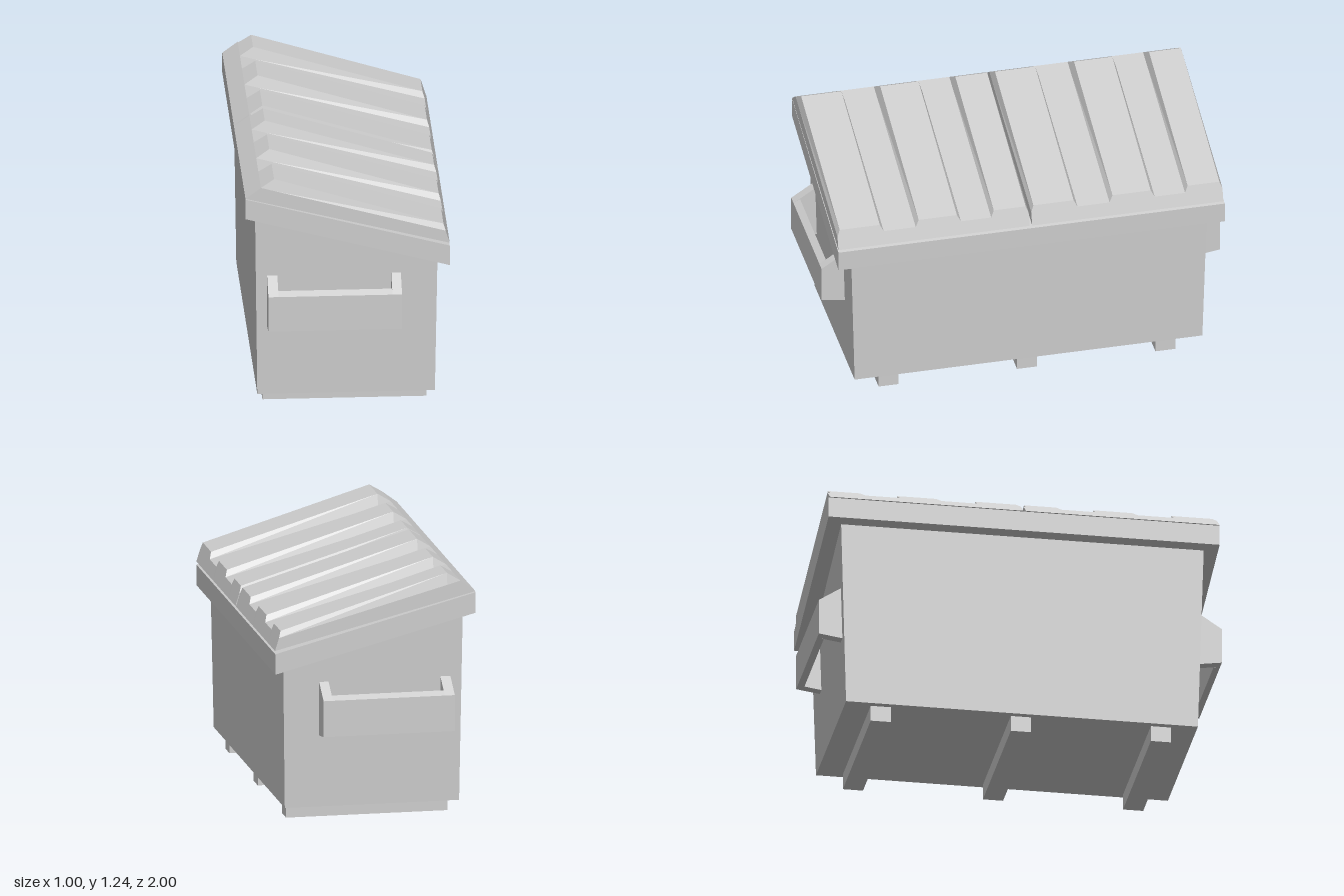
import * as THREE from 'three';

const material = new THREE.MeshStandardMaterial({ color: 0xcccccc, flatShading: true, side: THREE.DoubleSide });

function addMesh(parent, name, geometry) {
  const mesh = new THREE.Mesh(geometry, material);
  mesh.name = name;
  parent.add(mesh);
  return mesh;
}

// Extrudes a polygon of [x, y] corners along z
function prism(points, depth) {
  const shape = new THREE.Shape(points.map(([x, y]) => new THREE.Vector2(x, y)));
  return new THREE.ExtrudeGeometry(shape, { depth, bevelEnabled: false });
}

// Joins cross-sections, given as { z, ring }, running from +z to -z, and caps both ends
function loft(sections) {
  const out = [];
  const put = (s, j) => out.push(...s.ring[j % s.ring.length], s.z);
  const n = sections[0].ring.length;
  for (let i = 0; i < sections.length - 1; i++) {
    const s = sections[i], t = sections[i + 1];
    for (let j = 0; j < n; j++) {
      put(s, j); put(s, j + 1); put(t, j + 1);
      put(s, j); put(t, j + 1); put(t, j);
    }
  }
  const first = sections[0], last = sections[sections.length - 1];
  for (let j = 1; j < n - 1; j++) {
    put(first, 0); put(first, j + 1); put(first, j);
    put(last, 0); put(last, j); put(last, j + 1);
  }
  const g = new THREE.BufferGeometry();
  g.setAttribute('position', new THREE.Float32BufferAttribute(out, 3));
  g.computeVertexNormals();
  return g;
}

// Tapered bin with a sloping top
function bodyGeometry() {
  const g = new THREE.BoxGeometry(1, 1, 1);
  const p = g.attributes.position;
  for (let i = 0; i < p.count; i++) {
    const sx = Math.sign(p.getX(i)), sz = Math.sign(p.getZ(i));
    const top = p.getY(i) > 0;
    const x = top ? (sx < 0 ? -0.45 : 0.445) : (sx < 0 ? -0.437 : 0.433);
    const y = top ? 0.93 - 0.265 * x : 0.08;
    p.setXYZ(i, x, y, sz * (0.873 + 0.028 * (y - 0.08)));
  }
  g.computeVertexNormals();
  return g;
}

// Lid with three raised ribs and two grooves
function lidGeometry() {
  const rib = [[-0.5, 1.147], [-0.425, 1.203], [-0.36, 1.243], [0.47, 0.99], [0.5, 0.893]];
  const groove = [[-0.5, 1.147], [-0.425, 1.203], [-0.36, 1.185], [0.48, 0.957], [0.5, 0.893]];
  const ribs = [[0.97, 0.957, 0.755, 0.738], [0.577, 0.56, 0.368, 0.35], [0.198, 0.183, 0.023, 0.01]];
  return loft(ribs.flatMap((zs) => zs.map((z, k) => ({ z, ring: k === 1 || k === 2 ? rib : groove }))));
}

// Lifting bracket on one end: two arms and a cross plate
function endBracket(side) {
  const group = new THREE.Group();
  const arm = [[0.882, 0.44], [1, 0.457], [1, 0.638], [0.89, 0.71]];
  const plate = [[0.967, 0.452], [1, 0.457], [1, 0.638], [0.967, 0.657]];
  const part = (name, profile, x0, x1) => {
    const g = prism(profile, x1 - x0);
    if (side > 0) g.rotateY(-Math.PI / 2).translate(x1, 0, 0);
    else g.rotateY(Math.PI / 2).translate(x0, 0, 0);
    addMesh(group, name, g);
  };
  part('bracketArmRight', arm, -0.39, -0.34);
  part('bracketArmLeft', arm, 0.218, 0.265);
  part('bracketPlate', plate, -0.34, 0.218);
  return group;
}

export function createModel() {
  const model = new THREE.Group();
  model.name = 'wasteContainer';

  addMesh(model, 'body', bodyGeometry());

  // Overhanging rim that follows the slope
  const rim = prism([[-0.5, 1.04], [0.5, 0.775], [0.5, 0.878], [-0.5, 1.143]], 1.94);
  addMesh(model, 'rim', rim.translate(0, 0, -0.97));

  // Two identical lids side by side
  const lid = lidGeometry();
  addMesh(model, 'frontLid', lid);
  addMesh(model, 'backLid', lid).position.z = -0.973;

  for (const side of [1, -1]) {
    const bracket = endBracket(side);
    bracket.name = side > 0 ? 'frontBracket' : 'backBracket';
    model.add(bracket);
  }

  // Skids under the floor
  for (const z of [-0.695, 0, 0.695]) {
    addMesh(model, 'skid', new THREE.BoxGeometry(0.805, 0.08, 0.1)).position.set(-0.002, 0.04, z);
  }
  return model;
}
